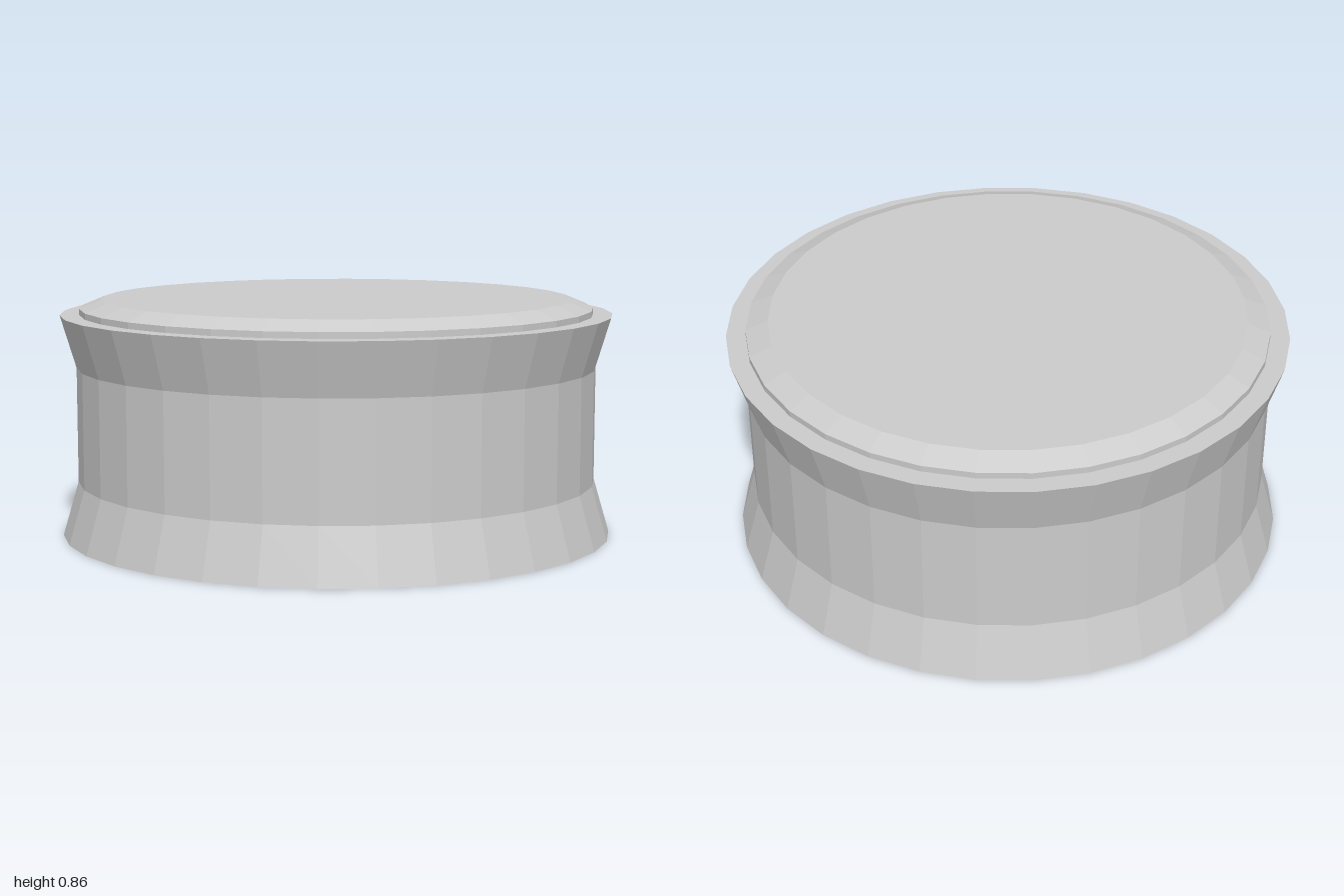
import * as THREE from 'three';

const SIDES = 32;

// Faceted solid of revolution from [radius, height] pairs, bottom to top
function turned(name, profile, material) {
  const points = profile.map(([r, y]) => new THREE.Vector2(r, y));
  const mesh = new THREE.Mesh(new THREE.LatheGeometry(points, SIDES), material);
  mesh.name = name;
  return mesh;
}

export function createModel() {
  const group = new THREE.Group();
  group.name = 'roundContainer';
  const material = new THREE.MeshStandardMaterial({ color: 0xcccccc, flatShading: true });

  // Drum with flared foot, straight waist and flared rim
  group.add(turned('body', [
    [0, 0], [1, 0], [0.943, 0.195], [0.943, 0.61], [1, 0.8], [0, 0.8],
  ], material));

  // Thin lid with a bevelled edge
  group.add(turned('lid', [
    [0.93, 0.8], [0.93, 0.822], [0.85, 0.855], [0, 0.855],
  ], material));

  return group;
}
